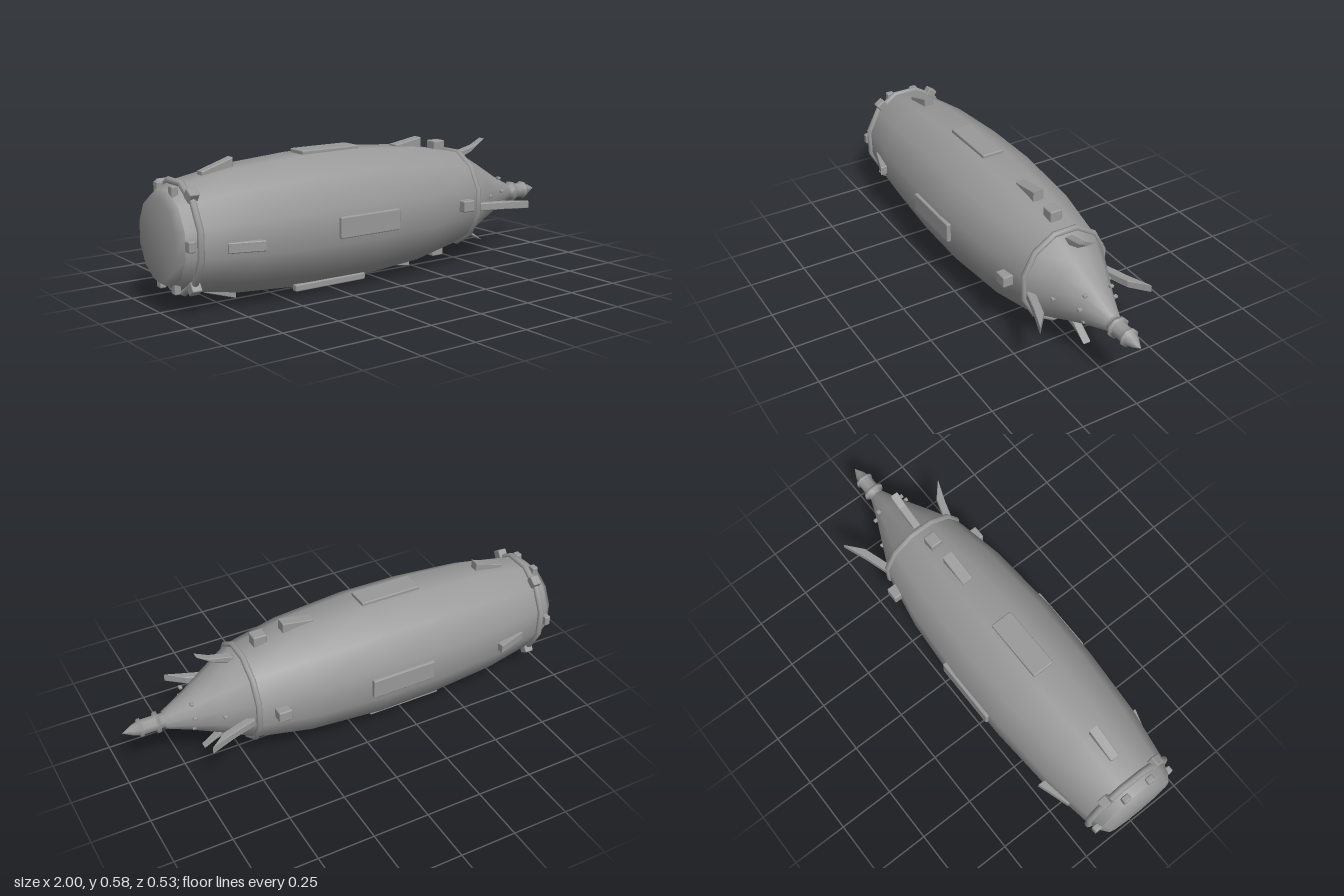
import * as THREE from 'three';
import { RoundedBoxGeometry } from 'three/addons/geometries/RoundedBoxGeometry.js';

const AXIS = 0.295;   // height of the hull's centre line
const SQUASH = 0.92;  // hull is slightly narrower than tall
const COS = Math.cos(Math.PI / 12);

// Twelve-sided skin through sections [x, centreY, half height]
function loft(sections) {
  const n = 12, pos = [], idx = [];
  for (const [x, cy, h] of sections) {
    for (let i = 0; i < n; i++) {
      const a = (i + 0.5) * Math.PI * 2 / n, r = h / COS;
      pos.push(x, cy + Math.cos(a) * r, Math.sin(a) * r * SQUASH);
    }
  }
  for (let s = 0; s < sections.length - 1; s++) {
    for (let i = 0; i < n; i++) {
      const a = s * n + i, b = s * n + (i + 1) % n, c = a + n, d = b + n;
      idx.push(a, b, c, b, d, c);
    }
  }
  const g = new THREE.BufferGeometry();
  g.setAttribute('position', new THREE.Float32BufferAttribute(pos, 3));
  g.setIndex(idx);
  g.computeVertexNormals();
  return g;
}

export function createModel() {
  const root = new THREE.Group();
  root.name = 'drillPod';
  const metal = new THREE.MeshStandardMaterial({ color: 0x999999 });
  metal.name = 'greyMetal';

  const add = (name, geometry, x = 0, y = 0, z = 0) => {
    const m = new THREE.Mesh(geometry, metal);
    m.name = name;
    m.position.set(x, y, z);
    root.add(m);
    return m;
  };
  const box = (name, w, h, d, x, y, z, r = 0.006) =>
    add(name, new RoundedBoxGeometry(w, h, d, 2, r), x, y, z);

  // Hull, nose cone and rear cap
  add('hull', loft([
    [-0.97, AXIS, 0.19], [-0.9, AXIS, 0.215], [-0.68, AXIS, 0.252], [-0.38, AXIS, 0.273],
    [-0.1, AXIS, 0.276], [0.23, AXIS, 0.253], [0.48, AXIS, 0.205],
  ]));
  add('noseCone', loft([
    [0.48, AXIS, 0.203], [0.6, 0.29, 0.142], [0.715, 0.28, 0.084], [0.82, 0.272, 0.038], [0.825, 0.272, 0.001],
  ]));
  add('rearCap', loft([[-1, AXIS, 0.001], [-1, AXIS, 0.165], [-0.97, AXIS, 0.19]]));

  // Hoops around both ends of the hull
  for (const [name, x, r, tube] of [['rearHoop', -0.917, 0.215, 0.015], ['frontHoop', 0.475, 0.205, 0.014]]) {
    const g = new THREE.TorusGeometry(r / COS, tube, 8, 12);
    g.rotateZ(Math.PI / 12);
    g.rotateY(Math.PI / 2);
    g.scale(1, 1, SQUASH);
    add(name, g, x, AXIS, 0);
  }

  // Stepped drill tip
  const profile = [
    [0, 0.79], [0.04, 0.79], [0.04, 0.81], [0.033, 0.815], [0.033, 0.842], [0.048, 0.845], [0.048, 0.857],
    [0.034, 0.86], [0.034, 0.915], [0.041, 0.918], [0.041, 0.928], [0.03, 0.932], [0.024, 0.955], [0, 1],
  ].map(([r, h]) => new THREE.Vector2(r, h));
  const tip = new THREE.LatheGeometry(profile, 8, Math.PI / 8);
  tip.rotateZ(-Math.PI / 2);
  add('drillTip', tip, 0, 0.272, 0);

  // Raised panels and belly rails
  box('topPanel', 0.28, 0.035, 0.1, -0.22, 0.5675, 0);
  box('bellyPanel', 0.28, 0.035, 0.1, -0.22, 0.0175, 0);
  for (const s of [1, -1]) {
    box('sidePanel', 0.3, 0.09, 0.035, -0.17, 0.294, s * 0.249);
    box('bellyRail', 0.35, 0.03, 0.03, -0.267, 0.03, s * 0.1);
    box('sideBlock', 0.06, 0.05, 0.06, 0.38, AXIS, s * 0.215);
    box(s > 0 ? 'topBlock' : 'bellyBlock', 0.06, 0.06, 0.055, 0.383, AXIS + s * 0.235, 0);
  }

  // Flat piece cut from an (x, radius) outline and turned about the hull axis
  const blade = (name, pts, width, angle, axisY) => {
    const shape = new THREE.Shape(pts.map(([x, r]) => new THREE.Vector2(x, r)));
    const g = new THREE.ExtrudeGeometry(shape, {
      depth: width - 0.006, bevelEnabled: true, bevelSize: 0.003, bevelThickness: 0.003, bevelOffset: -0.003, bevelSegments: 1,
    });
    g.translate(0, 0, 0.003 - width / 2);
    add(name, g, 0, axisY, 0).rotation.x = angle;
  };
  const up = 0, down = Math.PI, sides = [Math.PI / 2, -Math.PI / 2];

  // Wedges: four at the rear, two toward the nose
  const wedge = (x0, x1, low, high) => [[x0, low - 0.02], [x1 - 0.02, low - 0.02], [x1, high], [x1 - 0.01, high], [x0, low + 0.008]];
  const rear = (h) => [[-0.81, h - 0.07], [-0.67, h - 0.05], [-0.67, h], [-0.81, h - 0.045]];
  blade('rearTopWedge', rear(0.29), 0.042, up, AXIS);
  blade('rearBellyWedge', rear(0.288), 0.042, down, AXIS);
  const front = (x) => [[x, 0.23], [x + 0.14, 0.22], [x + 0.14, 0.289], [x, 0.266]];
  blade('frontTopWedge', front(0.14), 0.05, up, AXIS);
  blade('frontBellyWedge', front(0.08), 0.05, down, AXIS);

  // Pointed claws around the nose cone
  const claw = [[0.485, 0.175], [0.505, 0.2], [0.6, 0.222], [0.66, 0.25], [0.585, 0.195], [0.5, 0.165]];
  blade('topClaw', claw, 0.034, up, AXIS);
  blade('bellyClaw', claw.map(([x, r]) => [x, r - 0.018]), 0.034, down, AXIS);
  for (const a of sides) {
    blade('rearSideWedge', rear(0.264), 0.042, a, 0.272);
    blade('sideClaw', [[0.485, 0.16], [0.495, 0.19], [0.6, 0.222], [0.715, 0.265], [0.64, 0.2], [0.5, 0.155]], 0.034, a, 0.268);
  }

  // Small studs on the nose cone
  for (const s of [1, -1]) {
    for (const [x, y, z] of [[0.6, 0.298, 0.132], [0.715, 0.3, 0.084], [0.715, 0.359, 0.062], [0.715, 0.235, 0.062]]) {
      box('noseStud', 0.016, 0.012, 0.018, x, y, s * z, 0.003);
    }
  }

  // Lugs around the rear rim and hoop
  for (const s of [1, -1]) {
    box('rimLug', 0.028, 0.045, 0.04, -0.957, AXIS, s * 0.188);
    for (const t of [1, -1]) {
      box('rimLug', 0.028, 0.045, 0.035, -0.957, AXIS + t * 0.191, s * 0.062);
      box('hoopLug', 0.042, 0.045, 0.045, -0.914, AXIS + t * 0.182, s * 0.13).rotation.x = s * t * 0.6;
    }
  }
  return root;
}
